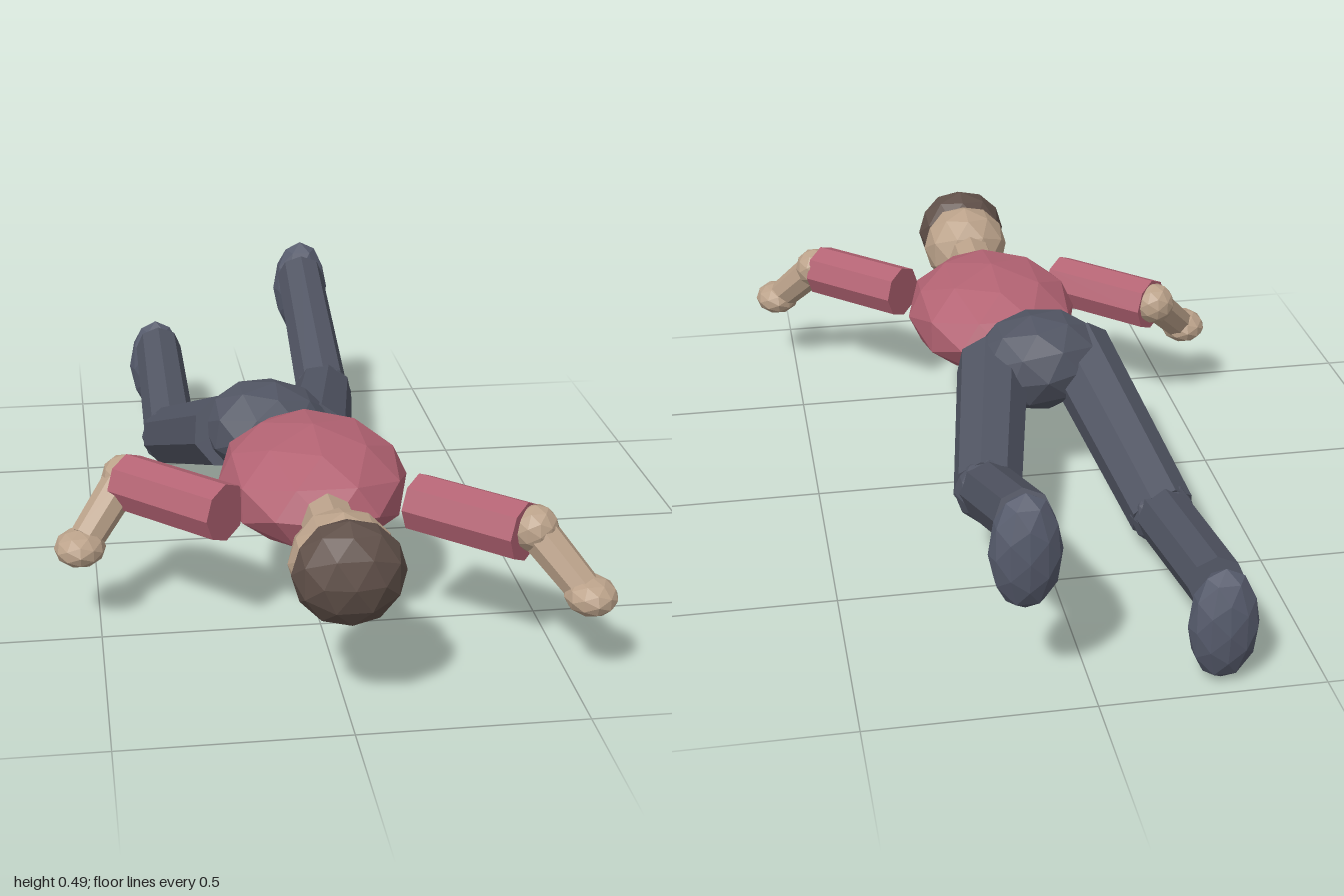
import * as THREE from 'three';

const flat = (name, color) => {
  const m = new THREE.MeshStandardMaterial({ color, flatShading: true });
  m.name = name;
  return m;
};

export function createModel() {
  const model = new THREE.Group();
  model.name = 'lyingFigure';
  const shirt = flat('shirt red', 0xb36373);
  const skin = flat('skin tan', 0xbba28a);
  const hair = flat('hair brown', 0x605049);
  const trousers = flat('trousers slate', 0x515563);
  const shoes = flat('shoes blue grey', 0x565b6c);
  const eye = flat('eye dark', 0x1c1a1c);

  // faceted ellipsoid
  const blob = (name, mat, pos, radii, rotX = 0, rotZ = 0) => {
    const g = new THREE.IcosahedronGeometry(1, 1);
    g.rotateX(rotX);
    g.scale(...radii);
    g.rotateZ(rotZ);
    const mesh = new THREE.Mesh(g, mat);
    mesh.name = name;
    mesh.position.set(...pos);
    model.add(mesh);
  };

  // tapered eight-sided limb between two points
  const limb = (name, mat, from, to, r0, r1) => {
    const a = new THREE.Vector3(...from), b = new THREE.Vector3(...to);
    const dir = b.clone().sub(a);
    const mesh = new THREE.Mesh(new THREE.CylinderGeometry(r1, r0, dir.length(), 8), mat);
    mesh.name = name;
    mesh.position.copy(a).add(b).multiplyScalar(0.5);
    mesh.quaternion.setFromUnitVectors(new THREE.Vector3(0, 1, 0), dir.normalize());
    model.add(mesh);
  };

  // trunk, with the spine along z
  blob('torso', shirt, [0, 0.31, 0.36], [0.22, 0.135, 0.28], Math.PI / 2);
  blob('pelvis', trousers, [-0.065, 0.312, 0.045], [0.165, 0.122, 0.147], Math.PI / 2, -0.15);

  // neck and head, face down
  limb('neck', skin, [0, 0.31, 0.58], [0, 0.315, 0.75], 0.061, 0.061);
  blob('head', skin, [0, 0.313, 0.815], [0.117, 0.112, 0.118], Math.PI / 2);
  blob('hair', hair, [0, 0.328, 0.9], [0.121, 0.115, 0.092], Math.PI / 2);
  for (const s of [-1, 1]) blob('eye', eye, [s * 0.035, 0.214, 0.85], [0.012, 0.008, 0.012]);

  // arms
  const arms = [
    { side: 'right', shoulder: [-0.217, 0.31, 0.53], elbow: [-0.425, 0.31, 0.325],
      ball: [-0.43, 0.318, 0.315], wrist: [-0.525, 0.21, 0.41], hand: [-0.54, 0.197, 0.425] },
    { side: 'left', shoulder: [0.215, 0.31, 0.525], elbow: [0.417, 0.31, 0.715],
      ball: [0.435, 0.318, 0.715], wrist: [0.525, 0.21, 0.795], hand: [0.54, 0.197, 0.81] },
  ];
  for (const a of arms) {
    limb(a.side + 'Sleeve', shirt, a.shoulder, a.elbow, 0.068, 0.068);
    blob(a.side + 'Elbow', skin, a.ball, [0.054, 0.054, 0.054]);
    limb(a.side + 'Forearm', skin, a.ball, a.wrist, 0.045, 0.04);
    blob(a.side + 'Hand', skin, a.hand, [0.059, 0.042, 0.067]);
  }

  // legs
  const legs = [
    { side: 'right', hip: [-0.165, 0.32, 0.07], knee: [-0.275, 0.117, -0.43],
      ankle: [-0.275, 0.21, -0.9], foot: [-0.28, 0.14, -0.94] },
    { side: 'left', hip: [0.045, 0.288, 0.07], knee: [0.14, 0.22, -0.43],
      ankle: [0.14, 0.415, -0.9], foot: [0.145, 0.363, -0.94] },
  ];
  for (const l of legs) {
    limb(l.side + 'Thigh', trousers, l.hip, l.knee, 0.091, 0.08);
    blob(l.side + 'Knee', trousers, l.knee, [0.078, 0.078, 0.078]);
    limb(l.side + 'Shin', trousers, l.knee, l.ankle, 0.07, 0.064);
    blob(l.side + 'Foot', shoes, l.foot, [0.078, 0.135, 0.058]);
  }
  return model;
}
